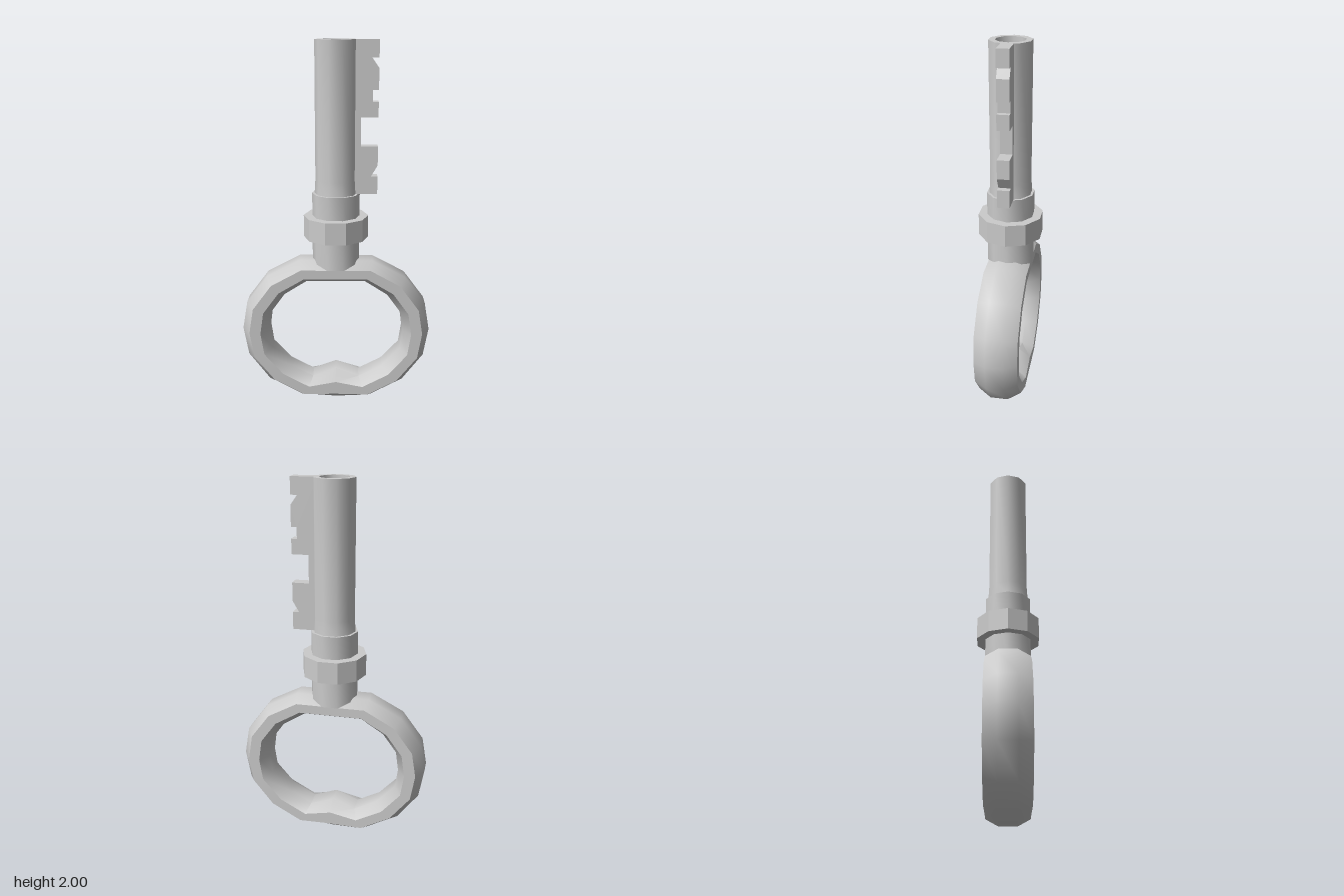
import * as THREE from 'three';
import { toCreasedNormals } from 'three/addons/utils/BufferGeometryUtils.js';

const material = new THREE.MeshStandardMaterial({ color: 0xcccccc });

function addPart(group, name, geometry, crease = 0.7) {
  const mesh = new THREE.Mesh(toCreasedNormals(geometry, crease), material);
  mesh.name = name;
  group.add(mesh);
  return mesh;
}

// Turned part with ten sides, flat towards the front and back
function turned(profile) {
  const points = profile.map(([r, y]) => new THREE.Vector2(r, y));
  return new THREE.LatheGeometry(points, 10, Math.PI / 10);
}

// Oval ring: octagonal sections between an outer and an inner outline
function bowGeometry() {
  // outer x, outer y, inner x, inner y; from bottom centre up the +x side
  const half = [
    [0, 0, 0, 0.18],
    [0.2, 0.015, 0.13, 0.13],
    [0.38, 0.115, 0.26, 0.2],
    [0.495, 0.27, 0.36, 0.31],
    [0.522, 0.43, 0.375, 0.42],
    [0.495, 0.585, 0.36, 0.53],
    [0.38, 0.74, 0.285, 0.635],
    [0.2, 0.835, 0.16, 0.715],
  ];
  const mirrored = half.slice(1).reverse().map(([a, b, c, d]) => [-a, b, -c, d]);
  const stations = [...half, ...mirrored];
  const sides = 8, reach = 1 / Math.cos(Math.PI / sides);
  const position = [], index = [];
  stations.forEach(([ox, oy, ix, iy], i) => {
    const next = (i + 1) % stations.length;
    for (let j = 0; j < sides; j++) {
      const a = ((j + 0.5) / sides) * Math.PI * 2;
      const u = 0.5 + 0.5 * reach * Math.cos(a);
      position.push(ix + (ox - ix) * u, iy + (oy - iy) * u, 0.116 * reach * Math.sin(a));
      const k = (j + 1) % sides;
      const p = i * sides + j, q = next * sides + j;
      const r = next * sides + k, s = i * sides + k;
      index.push(p, q, r, p, r, s);
    }
  });
  const geometry = new THREE.BufferGeometry();
  geometry.setAttribute('position', new THREE.Float32BufferAttribute(position, 3));
  geometry.setIndex(index);
  return geometry;
}

// Flat toothed blade with small slanted nicks and one deep gap
function bitGeometry() {
  const outline = [
    [0.08, 1.205], [0.22, 1.205], [0.22, 1.3], [0.185, 1.3], [0.22, 1.36],
    [0.22, 1.46], [0.13, 1.46], [0.13, 1.61], [0.22, 1.61], [0.22, 1.69],
    [0.19, 1.69], [0.19, 1.75], [0.22, 1.75], [0.22, 1.86], [0.185, 1.91],
    [0.22, 1.91], [0.22, 2], [0.08, 2],
  ];
  const shape = new THREE.Shape(outline.map(([x, y]) => new THREE.Vector2(x, y)));
  const geometry = new THREE.ExtrudeGeometry(shape, { depth: 0.064, bevelEnabled: false });
  geometry.translate(0, 0, -0.032);
  return geometry;
}

export function createModel() {
  const key = new THREE.Group();
  key.name = 'key';

  addPart(key, 'bow', bowGeometry(), 0.9);

  // Neck and raised collar
  addPart(key, 'neck', turned([[0, 0.8], [0.128, 0.8], [0.128, 1.205], [0, 1.205]]));
  addPart(key, 'collar', turned([[0, 0.96], [0.175, 0.96], [0.175, 1.08], [0, 1.08]]), 0.3);

  // Hollow stem
  addPart(key, 'stem', turned([
    [0, 1.2], [0.115, 1.2], [0.11, 1.28], [0.11, 2], [0.078, 2], [0.078, 1.65], [0, 1.65],
  ]));

  addPart(key, 'bit', bitGeometry(), 0.3);
  return key;
}
